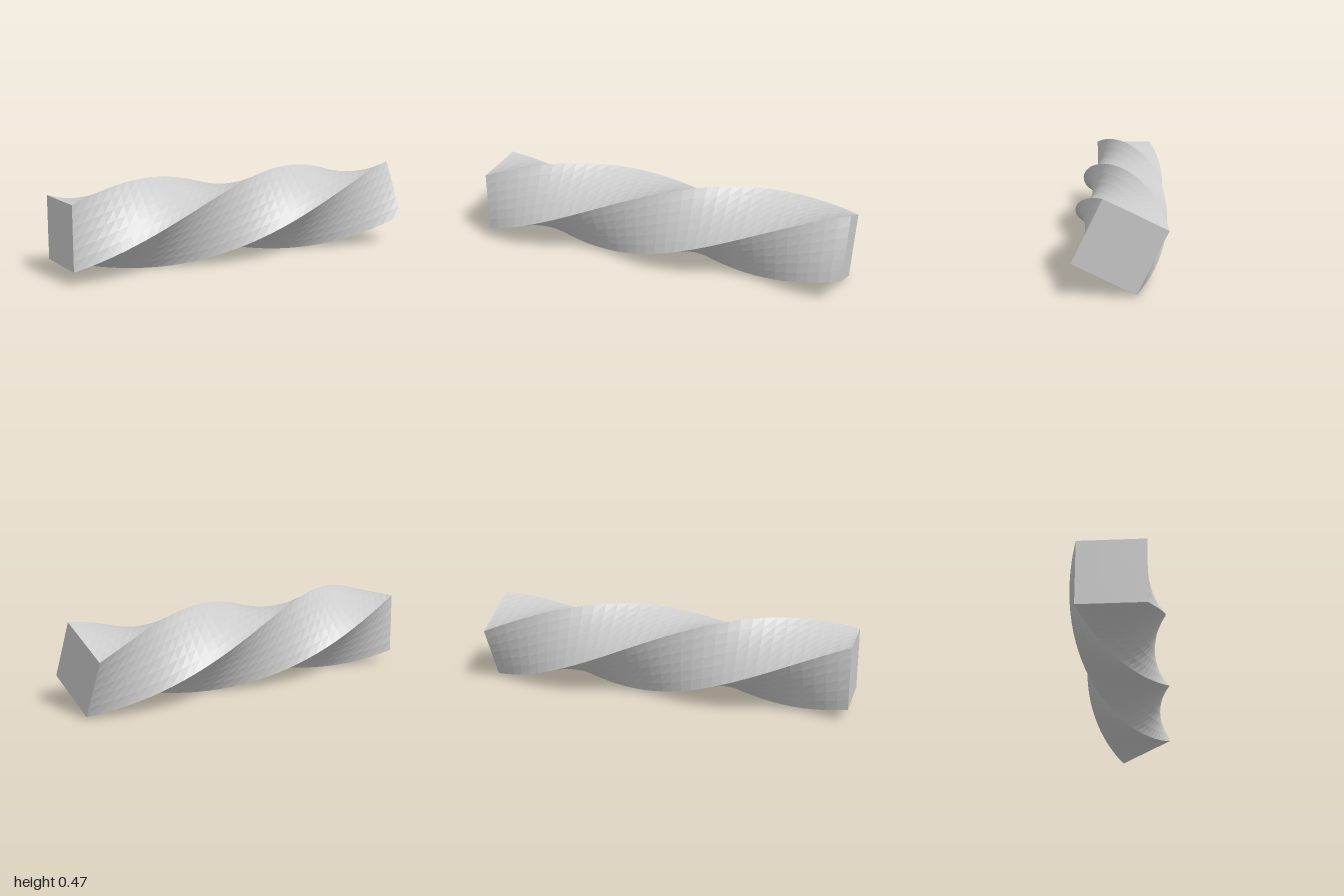
import * as THREE from 'three';

const LENGTH = 2;
const SIDE = 0.331;
const TWIST = THREE.MathUtils.degToRad(206);

// Turns each cross-section about the x axis in proportion to its distance along the bar.
function twistAlongX(geometry, angle, length) {
  const pos = geometry.attributes.position;
  const axis = new THREE.Vector3(1, 0, 0);
  const v = new THREE.Vector3();
  for (let i = 0; i < pos.count; i++) {
    v.fromBufferAttribute(pos, i);
    const t = v.x / length + 0.5;
    v.applyAxisAngle(axis, -angle * t);
    pos.setXYZ(i, v.x, v.y, v.z);
  }
  geometry.computeVertexNormals();
  return geometry;
}

export function createModel() {
  const group = new THREE.Group();
  group.name = 'twistedBar';

  // Square bar, finely divided along its length so it twists evenly
  const geometry = twistAlongX(new THREE.BoxGeometry(LENGTH, SIDE, SIDE, 34, 6, 6), TWIST, LENGTH);
  const material = new THREE.MeshStandardMaterial({ color: 0xcccccc, flatShading: true });
  const bar = new THREE.Mesh(geometry, material);
  bar.name = 'squareBar';
  bar.position.y = SIDE * Math.SQRT1_2;
  group.add(bar);

  return group;
}
